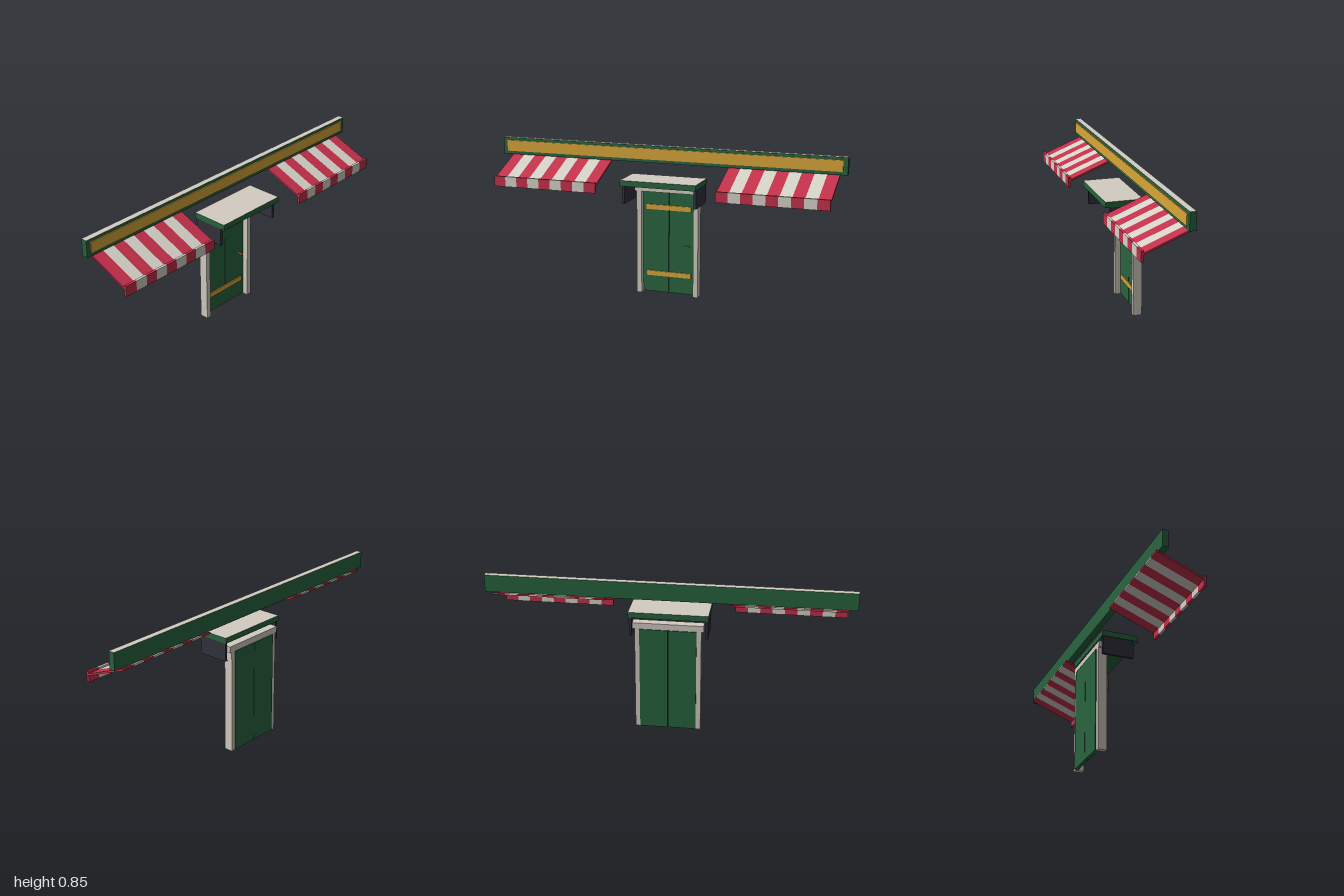
import * as THREE from 'three';

const mat = (name, color) => {
  const m = new THREE.MeshStandardMaterial({ color });
  m.name = name;
  return m;
};

export function createModel() {
  const green = mat('dark green paint', 0x28643f);
  const cream = mat('stone cream', 0xd3ccc1);
  const canvas = mat('off-white canvas', 0xd5d2c8);
  const red = mat('red canvas', 0xc4304a);
  const gold = mat('gold paint', 0xd9a638);
  const dark = mat('charcoal', 0x32313c);
  const brass = mat('brass', 0xc98a32);

  const model = new THREE.Group();
  model.name = 'shopfront';

  // Box given by its limits on each axis
  const box = (parent, name, material, [x0, x1], [y0, y1], [z0, z1]) => {
    const mesh = new THREE.Mesh(new THREE.BoxGeometry(x1 - x0, y1 - y0, z1 - z0), material);
    mesh.position.set((x0 + x1) / 2, (y0 + y1) / 2, (z0 + z1) / 2);
    mesh.name = name;
    parent.add(mesh);
    return mesh;
  };
  const group = (name) => {
    const g = new THREE.Group();
    g.name = name;
    model.add(g);
    return g;
  };
  const span = (side, a, b) => (side > 0 ? [a, b] : [-b, -a]);
  // Green sides with a cream top face
  const creamTop = [green, green, cream, green, green, green];

  // Long fascia board with its gold panel
  const fascia = group('fascia');
  box(fascia, 'fasciaBoard', creamTop, [-1, 1], [0.757, 0.853], [-0.117, -0.083]);
  box(fascia, 'fasciaPanel', gold, [-0.975, 0.975], [0.775, 0.837], [-0.083, -0.077]);

  // Canopy over the door
  const canopy = group('canopy');
  box(canopy, 'canopySlab', creamTop, [-0.218, 0.218], [0.65, 0.682], [-0.123, 0.088]);

  // Door frame
  const frame = group('doorFrame');
  box(frame, 'lintel', cream, [-0.194, 0.194], [0.592, 0.627], [-0.132, -0.082]);

  // Double door
  const door = group('door');
  for (const side of [-1, 1]) {
    box(canopy, 'canopyBracket', dark, span(side, 0.2, 0.214), [0.545, 0.65], [-0.117, 0.06]);
    box(frame, 'jamb', cream, span(side, 0.153, 0.181), [0, 0.592], [-0.132, -0.082]);
    box(door, 'doorLeaf', green, span(side, 0.0015, 0.155), [0.004, 0.592], [-0.137, -0.115]);
  }
  for (const y of [0.113, 0.5]) {
    box(door, 'doorStrap', gold, [-0.132, 0.132], [y - 0.014, y + 0.014], [-0.115, -0.109]);
  }

  // Door handle
  const stem = new THREE.Mesh(new THREE.CylinderGeometry(0.005, 0.005, 0.024, 12), brass);
  stem.rotation.x = Math.PI / 2;
  stem.position.set(0.117, 0.288, -0.103);
  stem.name = 'handleStem';
  door.add(stem);
  box(door, 'handleLever', brass, [0.1, 0.121], [0.284, 0.292], [-0.094, -0.087]);

  // Striped awnings: a sloped strip and a hanging valance for each stripe
  const profile = new THREE.Shape([
    new THREE.Vector2(0.125, 0.646), new THREE.Vector2(0.125, 0.657),
    new THREE.Vector2(-0.13, 0.759), new THREE.Vector2(-0.13, 0.748),
  ]);
  const STRIPES = 9, START = 0.342, W = 0.613 / STRIPES;
  const stripGeo = new THREE.ExtrudeGeometry(profile, { depth: W, bevelEnabled: false });
  stripGeo.rotateY(-Math.PI / 2); // profile x becomes z, depth runs to -x
  for (const side of [-1, 1]) {
    const awning = group(side > 0 ? 'leftAwning' : 'rightAwning');
    for (let i = 0; i < STRIPES; i++) {
      const m = i % 2 ? canvas : red;
      const x = span(side, START + i * W, START + (i + 1) * W);
      const strip = new THREE.Mesh(stripGeo, m);
      strip.position.x = x[1];
      strip.name = 'awningStripe';
      awning.add(strip);
      box(awning, 'valance', m, x, [0.61, 0.668], [0.124, 0.138]);
    }
  }
  return model;
}
